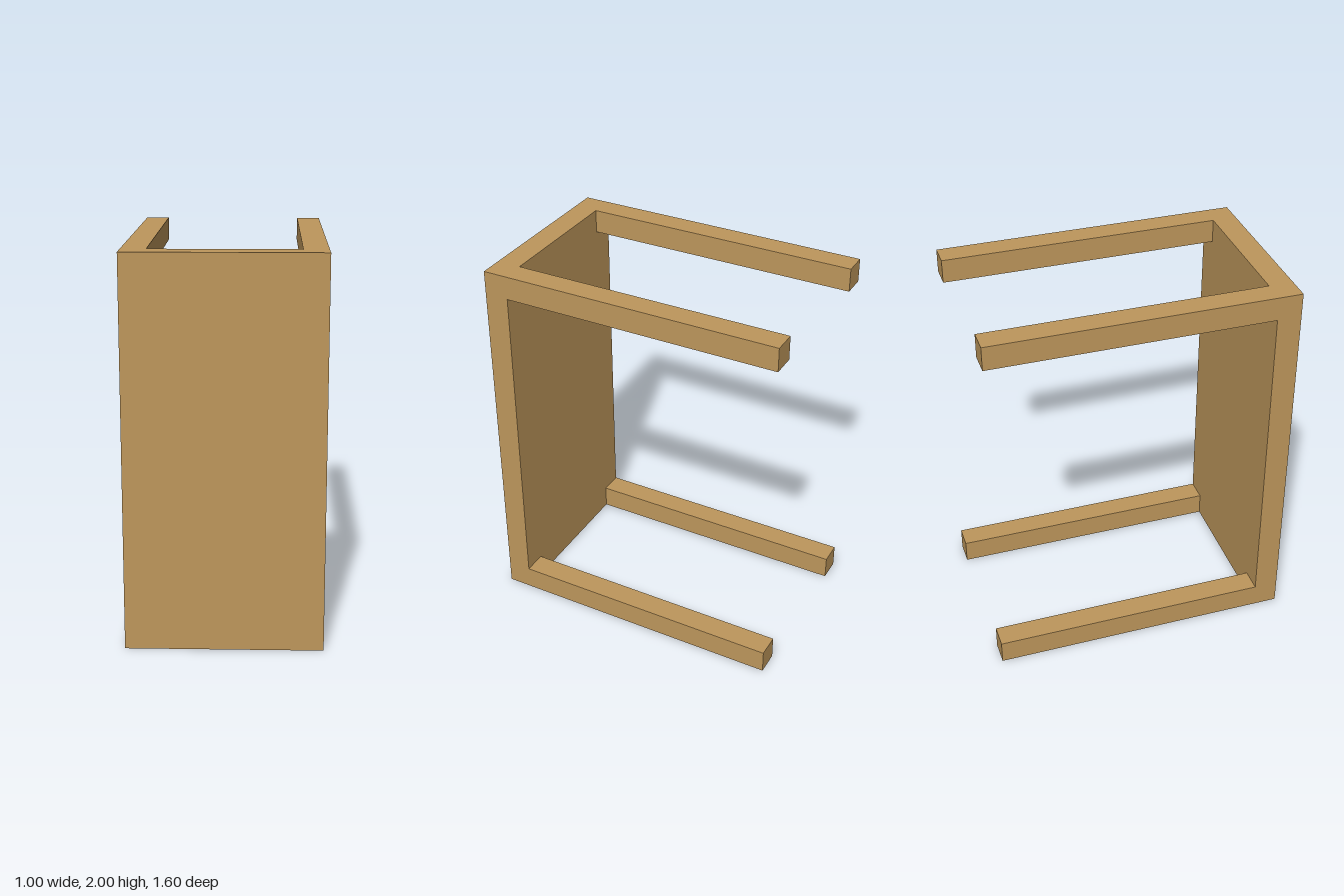
import * as THREE from 'three';

// A table lying on its long side: the top faces +z, the legs point to -z.
export function createModel() {
  const model = new THREE.Group();
  model.name = 'table';
  const wood = new THREE.MeshStandardMaterial({ color: 0xbe975c });
  wood.name = 'wood';

  const width = 1, height = 2, depth = 1.604;
  const topThickness = 0.128, legWidth = 0.126;
  const legLength = depth - topThickness;

  // Table top
  const top = new THREE.Mesh(new THREE.BoxGeometry(width, height, topThickness), wood);
  top.name = 'tableTop';
  top.position.set(0, height / 2, depth / 2 - topThickness / 2);
  model.add(top);

  // Four legs, flush with the corners of the top
  const legGeometry = new THREE.BoxGeometry(legWidth, legWidth, legLength);
  for (const [sx, side] of [[1, 'Left'], [-1, 'Right']]) {
    for (const [sy, level] of [[1, 'upper'], [-1, 'lower']]) {
      const leg = new THREE.Mesh(legGeometry, wood);
      leg.name = `${level}${side}Leg`;
      leg.position.set(
        sx * (width - legWidth) / 2,
        height / 2 + sy * (height - legWidth) / 2,
        -topThickness / 2
      );
      model.add(leg);
    }
  }
  return model;
}
